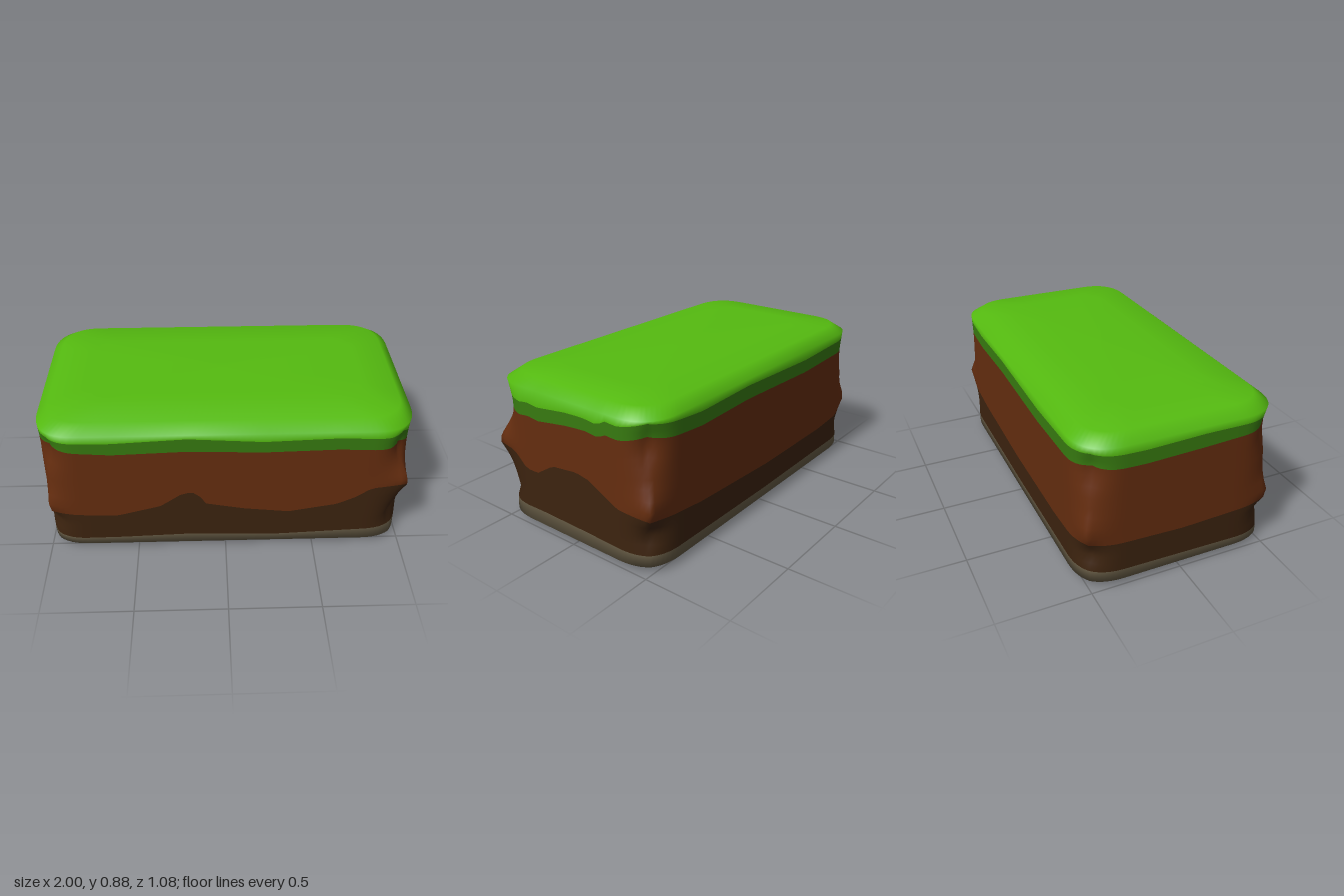
import * as THREE from 'three';

const HX = 1, HZ = 0.54;
const mat = (name, color) => {
  const m = new THREE.MeshStandardMaterial({ color });
  m.name = name;
  return m;
};

// Layer heights round the block: [s, y], s = 0-1 front, 1-2 right side, 2-3 back, 3-4 left side
const stoneTop = [[0, .08], [.2, .085], [.4, .1], [.65, .085], [.9, .11], [1, .113], [1.3, .12], [1.6, .115],
  [2, .1], [2.5, .09], [3, .1], [3.5, .09], [4, .08]];
const soilTop = [[0, .27], [.2, .255], [.32, .32], [.375, .4], [.405, .42], [.425, .4], [.44, .335], [.55, .29],
  [.675, .26], [.81, .31], [.86, .36], [.9, .42], [1, .44], [1.11, .425], [1.2, .345], [1.28, .345], [1.39, .42],
  [1.55, .44], [1.63, .425], [1.8, .33], [2, .315], [2.2, .27], [2.5, .24], [2.8, .24], [3, .27], [3.5, .25], [4, .27]];
const dirtTop = [[0, .72], [.2, .69], [.4, .705], [.6, .69], [.8, .7], [.95, .685], [1, .69], [1.17, .65], [1.24, .66],
  [1.31, .65], [1.5, .68], [1.62, .69], [1.7, .68], [1.75, .705], [1.82, .7], [2, .725], [2.2, .69], [2.4, .7],
  [2.7, .68], [3, .7], [3.3, .69], [3.6, .7], [4, .72]];
const turfTop = [[0, .77], [.2, .765], [.4, .787], [.6, .76], [.8, .775], [.95, .76], [1, .77], [1.1, .735], [1.19, .725],
  [1.24, .735], [1.31, .725], [1.5, .75], [1.61, .755], [1.7, .745], [1.75, .775], [1.82, .77], [2, .8], [2.2, .765],
  [2.4, .775], [2.7, .755], [3, .775], [3.3, .765], [3.6, .775], [4, .77]];

function heightAt(curve, s) {
  const i = Math.max(1, curve.findIndex(p => p[0] >= s));
  const [a, b] = [curve[i - 1], curve[i]];
  return a[1] + (b[1] - a[1]) * (s - a[0]) / (b[0] - a[0]);
}

// Position on the unit square outline, counter-clockwise from front left
function outline(s) {
  const side = Math.floor(s) % 4, t = (s % 1) * 2 - 1;
  return [[t, 1], [1, -t], [-t, -1], [-1, t]][side];
}

const bump = (y, mid, width) => Math.exp(-(((y - mid) / width) ** 2));

// How strongly a corner is cut back at a given height: waists and one bulge
function cornerCut(x, z, y) {
  const mid = x > 0 ? (z > 0 ? .45 : .36) : (z > 0 ? .3 : .34);
  const strength = x > 0 ? .85 : .55;
  return 1 - strength * bump(y, mid, .09) + .5 * bump(y, .2, .06) + .6 * bump(y, .68, .1);
}

export function createModel() {
  const group = new THREE.Group();
  group.name = 'groundBlock';

  // Sample positions round the outline
  const samples = [];
  for (let side = 0; side < 4; side++) {
    const n = side % 2 ? 32 : 56;
    for (let k = 0; k < n; k++) samples.push(side + k / n);
  }
  const n = samples.length;

  // Rows from the underside to the top; each has a height rule, an inset and the layer above it
  const rows = [];
  const flat = (y, inset, layer) => rows.push({ y: () => y, inset, layer });
  const between = (low, high, steps, layer) => {
    for (let k = 0; k < steps; k++) {
      rows.push({
        y: s => THREE.MathUtils.lerp(heightAt(low, s), heightAt(high, s), k / steps), inset: 0, layer,
      });
    }
  };
  flat(0, null, 0);
  flat(.003, .25, 0);
  flat(.012, .06, 0);
  flat(.038, 0, 0);
  between(stoneTop, soilTop, 4, 1);
  between(soilTop, dirtTop, 8, 2);
  between(dirtTop, turfTop, 2, 3);
  rows.push({ y: s => heightAt(turfTop, s), inset: 0, layer: 4 });
  flat(.812, 0, 4);
  flat(.86, .06, 4);
  flat(.876, .25, 4);
  flat(.88, null, 4);

  // Vertices: a box outline with softened, uneven corners
  const positions = [];
  for (const row of rows) {
    for (const s of samples) {
      const [ux, uz] = outline(s), y = row.y(s);
      if (row.inset === null) { positions.push(0, y, 0); continue; }
      let x = ux * (HX - row.inset), z = uz * (HZ - row.inset);
      const d = (1 - Math.abs(ux)) * HX + (1 - Math.abs(uz)) * HZ;
      const cut = .05 * Math.max(0, 1 - d / .22) ** 2 * cornerCut(ux, uz, y);
      x -= Math.sign(ux) * cut;
      z -= Math.sign(uz) * cut;
      positions.push(x, y, z);
    }
  }

  // Faces sorted by layer
  const faces = [[], [], [], [], []];
  for (let j = 0; j < rows.length - 1; j++) {
    for (let i = 0; i < n; i++) {
      const i2 = (i + 1) % n;
      const a = j * n + i, b = j * n + i2, c = b + n, d = a + n;
      const list = faces[rows[j].layer];
      if (j > 0) list.push(a, b, c);
      if (j === 0) list.push(a, c, d);
      else if (j < rows.length - 2) list.push(a, c, d);
    }
  }

  // Smooth normals run across all layers
  const whole = new THREE.BufferGeometry();
  whole.setAttribute('position', new THREE.Float32BufferAttribute(positions, 3));
  whole.setIndex(faces.flat());
  whole.computeVertexNormals();

  // One mesh for each layer of ground
  const layers = [
    ['stoneBase', mat('stone', 0x655a44)],
    ['darkSoil', mat('dark soil', 0x3c230f)],
    ['dirt', mat('brown dirt', 0x652d0f)],
    ['turfEdge', mat('dark grass', 0x377a10)],
    ['grassTop', mat('bright grass', 0x55bb10)],
  ];
  layers.forEach(([name, material], k) => {
    const geometry = new THREE.BufferGeometry();
    geometry.setAttribute('position', whole.getAttribute('position'));
    geometry.setAttribute('normal', whole.getAttribute('normal'));
    geometry.setIndex(faces[k]);
    const mesh = new THREE.Mesh(geometry, material);
    mesh.name = name;
    group.add(mesh);
  });
  return group;
}
